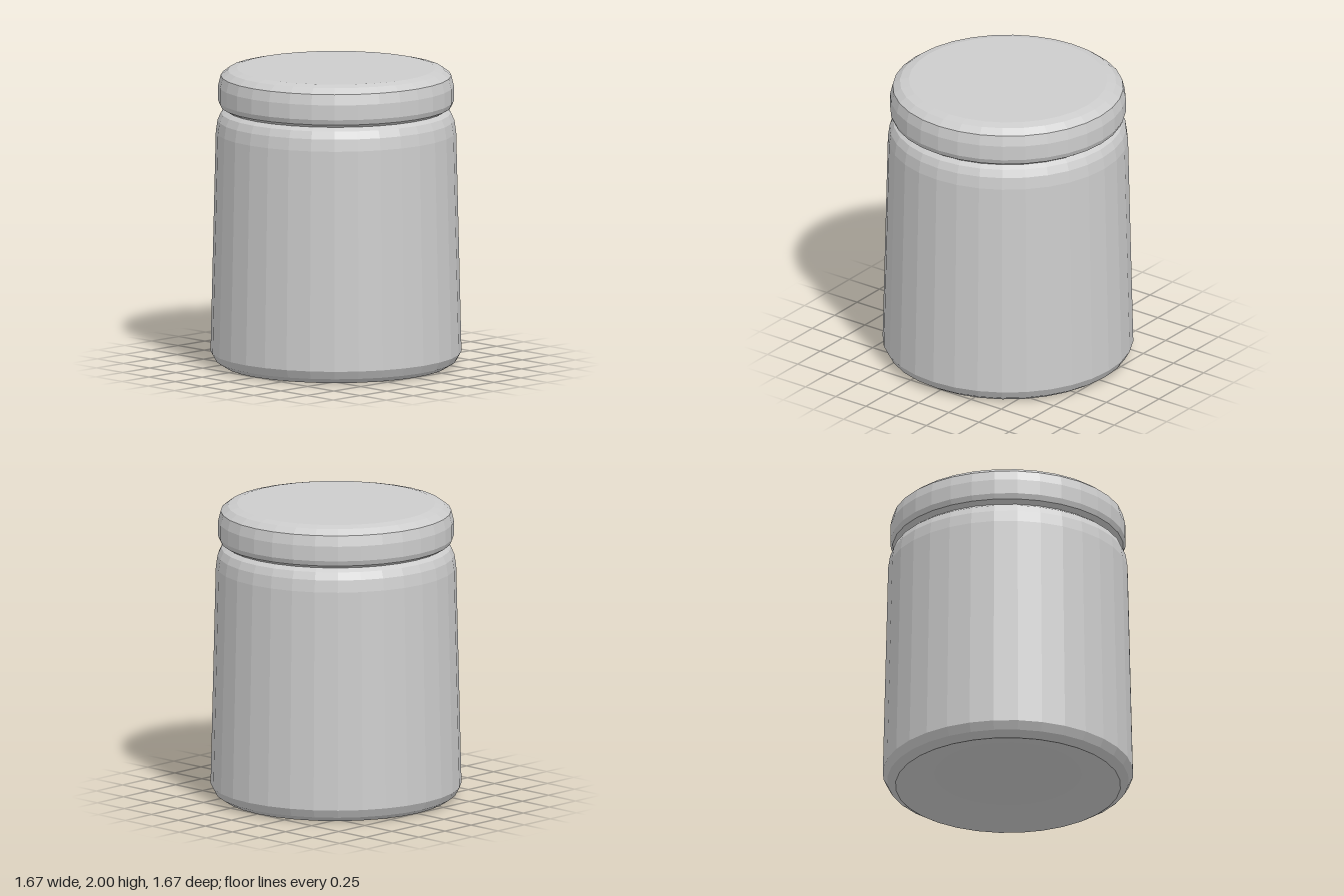
import * as THREE from 'three';

const SIDES = 32;

// Revolve a [radius, height] profile, listed from the bottom axis to the top axis
function turned(name, profile, material) {
  const points = profile.map(([r, y]) => new THREE.Vector2(r, y));
  const mesh = new THREE.Mesh(new THREE.LatheGeometry(points, SIDES), material);
  mesh.name = name;
  return mesh;
}

export function createModel() {
  const group = new THREE.Group();
  group.name = 'liddedJar';

  const grey = new THREE.MeshStandardMaterial({ color: 0xcccccc });
  grey.name = 'light grey';
  grey.flatShading = true;

  // Tapered body with a shallow hollow base and rounded shoulder
  group.add(turned('jarBody', [
    [0, 0.1], [0.22, 0.1], [0.49, 0.085], [0.75, 0],
    [0.805, 0.035], [0.835, 0.09],
    [0.8, 1.57], [0.788, 1.65], [0.765, 1.7], [0.725, 1.728], [0, 1.728],
  ], grey));

  // Lid with a rounded upper edge and a small lower bevel
  group.add(turned('lid', [
    [0, 1.724], [0.735, 1.724], [0.77, 1.745], [0.785, 1.78],
    [0.785, 1.88], [0.768, 1.95], [0.72, 1.986], [0.66, 2], [0, 2],
  ], grey));

  return group;
}
